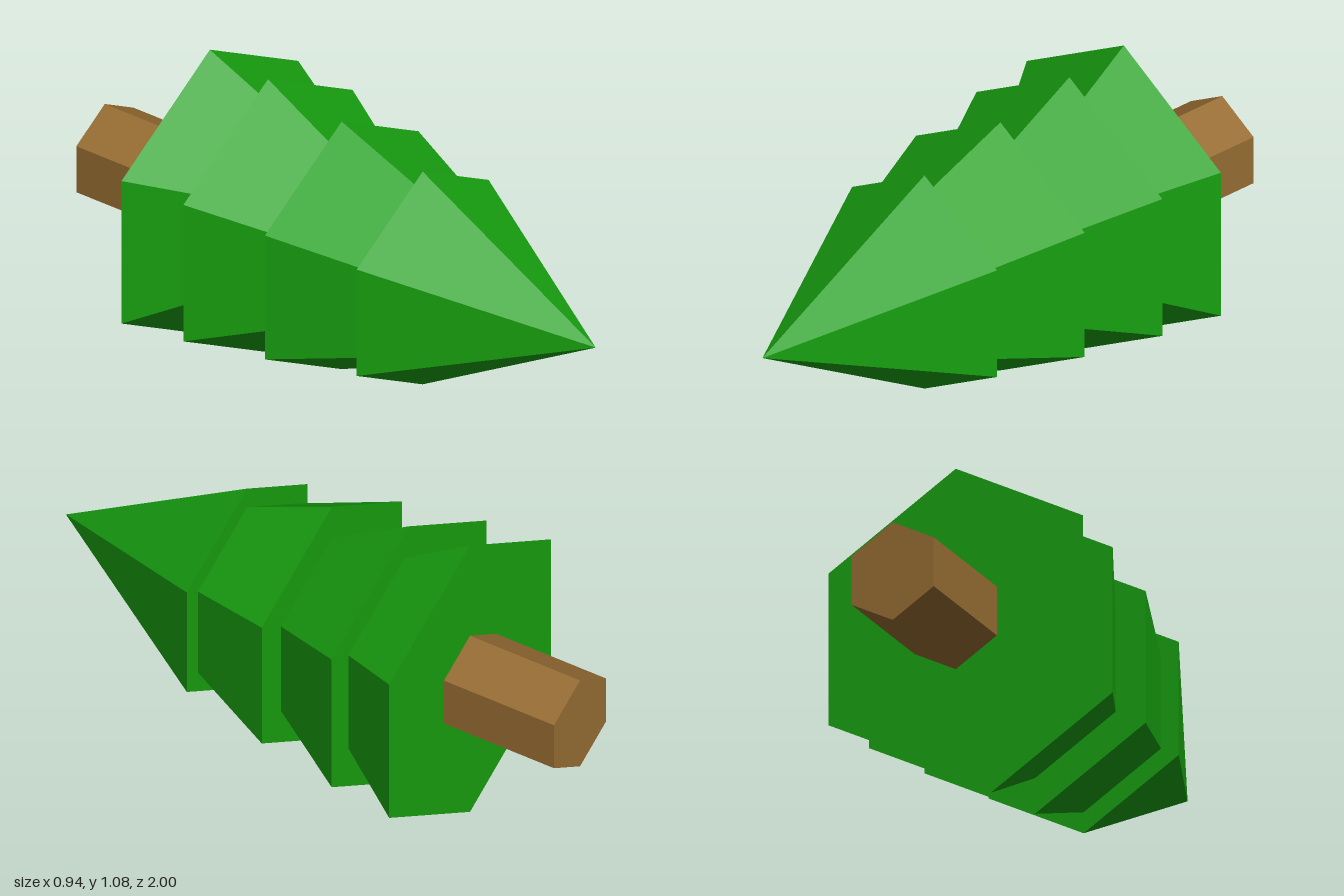
import * as THREE from 'three';

const AXIS_Y = 0.54; // height of the tree's lying axis

// Hexagonal frustum along z, corners pointing up and down; the front ring can lean off axis
function frustum(name, material, zFront, zBack, rFront, rBack, leanX = 0, leanY = 0) {
  const length = zFront - zBack;
  const geometry = new THREE.CylinderGeometry(rFront, rBack, length, 6);
  geometry.rotateX(Math.PI / 2);
  const p = geometry.attributes.position;
  for (let i = 0; i < p.count; i++) {
    if (p.getZ(i) > 0) p.setXY(i, p.getX(i) + leanX, p.getY(i) + leanY);
  }
  geometry.computeVertexNormals();
  const mesh = new THREE.Mesh(geometry, material);
  mesh.name = name;
  mesh.position.set(0, AXIS_Y, (zFront + zBack) / 2);
  return mesh;
}

export function createModel() {
  const tree = new THREE.Group();
  tree.name = 'lyingTree';
  const leaf = new THREE.MeshStandardMaterial({ color: 0x18a010, flatShading: true });
  const bark = new THREE.MeshStandardMaterial({ color: 0x966c32, flatShading: true });

  // Foliage tiers from tip to trunk: zFront, zBack, rFront, rBack, leanX, leanY
  const tiers = [
    [1, 0.295, 0, 0.403],
    [0.295, -0.035, 0.328, 0.469],
    [-0.035, -0.335, 0.342, 0.517],
    [-0.335, -0.572, 0.377, 0.54, 0.025, 0.027],
  ];
  tiers.forEach((tier, i) => tree.add(frustum(`foliageTier${i + 1}`, leaf, ...tier)));

  // Trunk
  tree.add(frustum('trunk', bark, -0.572, -1, 0.174, 0.174));
  return tree;
}
